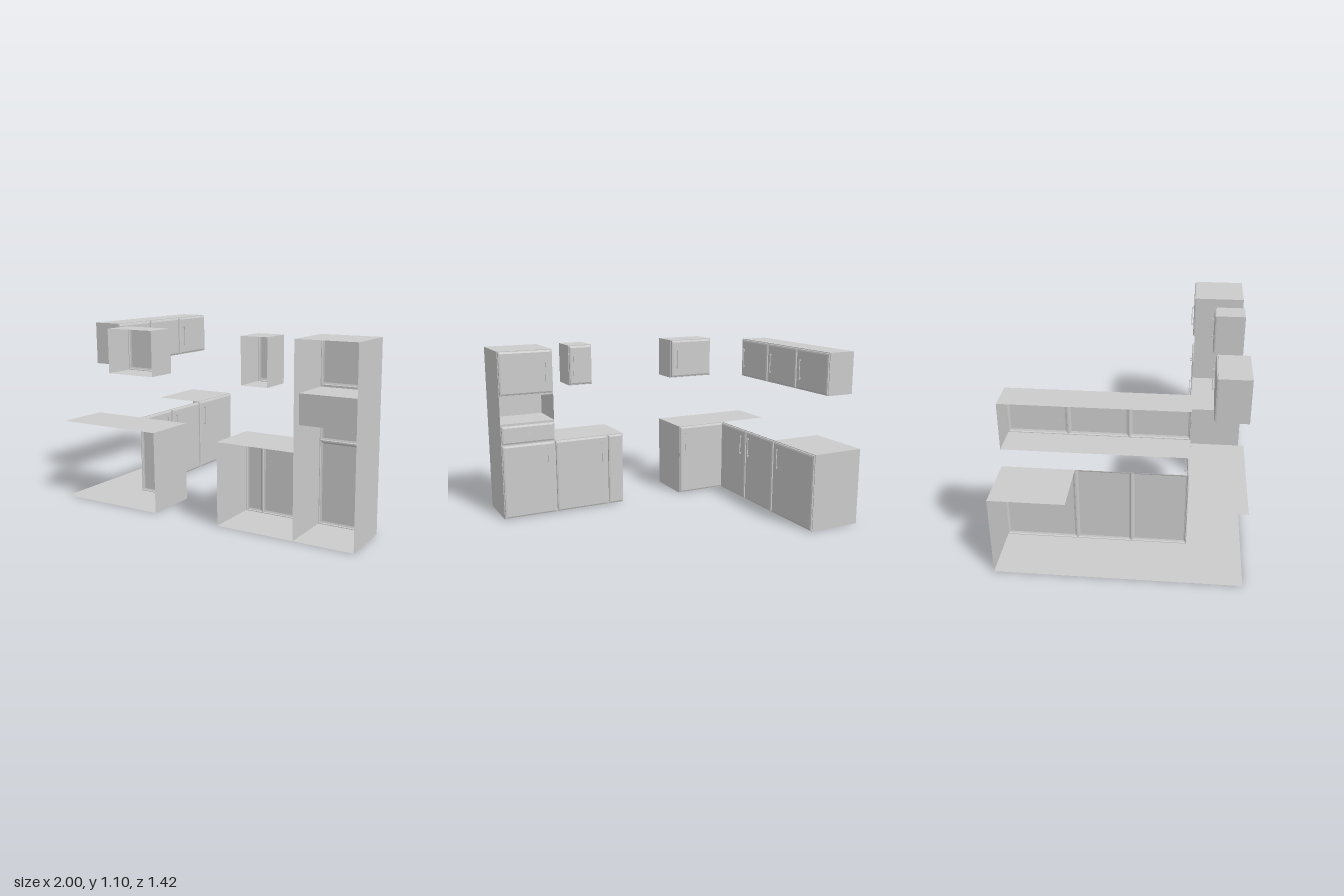
import * as THREE from 'three';

const grey = new THREE.MeshStandardMaterial({ color: 0xcccccc, side: THREE.DoubleSide, flatShading: true });

// Geometry from a list of four-cornered faces
function quads(faces) {
  const pos = [];
  for (const [a, b, c, d] of faces) pos.push(...a, ...b, ...c, ...a, ...c, ...d);
  const g = new THREE.BufferGeometry();
  g.setAttribute('position', new THREE.Float32BufferAttribute(pos, 3));
  g.computeVertexNormals();
  return g;
}

function add(parent, name, geometry) {
  const mesh = new THREE.Mesh(geometry, grey);
  mesh.name = name;
  parent.add(mesh);
  return mesh;
}

// Axis-aligned faces, each lying in one plane
const flatY = (y, x0, x1, z0, z1) => [[x0, y, z1], [x1, y, z1], [x1, y, z0], [x0, y, z0]];
const flatX = (x, y0, y1, z0, z1) => [[x, y0, z1], [x, y0, z0], [x, y1, z0], [x, y1, z1]];
const flatZ = (z, x0, x1, y0, y1) => [[x0, y0, z], [x1, y0, z], [x1, y1, z], [x0, y1, z]];

// Bevelled door shell: nested rectangles given as [inset, height]
function doorGeometry(w, h) {
  const rings = [[0, 0], [0.004, 0], [0.006, 0.008], [0.016, 0.012]].map(([i, z]) => {
    const x = w / 2 - i, y = h / 2 - i;
    return [[-x, -y, z], [x, -y, z], [x, y, z], [-x, y, z]];
  });
  const faces = [rings[rings.length - 1]];
  for (let r = 0; r + 1 < rings.length; r++)
    for (let k = 0; k < 4; k++) {
      const n = (k + 1) % 4;
      faces.push([rings[r][k], rings[r][n], rings[r + 1][n], rings[r + 1][k]]);
    }
  return quads(faces);
}

// Bar handle on two short stems, upright or level
function handle(length, level) {
  const g = new THREE.Group();
  g.name = 'handle';
  const bar = add(g, 'handleBar', new THREE.BoxGeometry(0.012, length, 0.005));
  bar.position.z = 0.0245;
  for (const s of [-1, 1]) {
    const stem = add(g, 'handleStem', new THREE.BoxGeometry(0.006, 0.008, 0.012));
    stem.position.set(0, s * (length / 2 - 0.008), 0.017);
  }
  if (level) g.rotation.z = Math.PI / 2;
  return g;
}

// Door spanning a0..a1 along the cabinet run, facing +x or -z
function door(parent, name, facing, plane, a0, a1, y0, y1, grip) {
  const g = new THREE.Group();
  g.name = name;
  const mid = (a0 + a1) / 2, cy = (y0 + y1) / 2;
  add(g, 'doorPanel', doorGeometry(a1 - a0, y1 - y0));
  const bar = handle(grip.length ?? 0.135, grip.level);
  bar.position.set(mid - grip.at, grip.y - cy, 0);
  g.add(bar);
  if (facing === '+x') {
    g.rotation.y = Math.PI / 2;
    g.position.set(plane, cy, mid);
  } else {
    g.rotation.y = Math.PI;
    g.position.set(mid, cy, plane);
  }
  parent.add(g);
}

function section(parent, name) {
  const g = new THREE.Group();
  g.name = name;
  parent.add(g);
  return g;
}

export function createModel() {
  const model = new THREE.Group();
  model.name = 'kitchenCabinets';
  const H = 0.495, TOP = 1.1, LOW = 0.83;
  const BACK = 0.712, FACE = 0.386, SIDE = -0.65;
  const BASE_GRIP = 0.385, WALL_GRIP = 0.965;

  // L-shaped base cabinets, open against the walls, with a gap in the worktop
  const corner = section(model, 'cornerBaseCabinets');
  add(corner, 'floor', quads([flatY(0, -1, SIDE, -BACK, FACE), flatY(0, -1, -0.29, FACE, BACK)]));
  add(corner, 'worktop', quads([flatY(H, -1, SIDE, -BACK, -0.278), flatY(H, -1, -0.29, FACE, BACK)]));
  add(corner, 'endPanels', quads([flatZ(-BACK, -1, SIDE, 0, H), flatX(-0.29, 0, H, FACE, BACK)]));
  for (const [a0, a1, at] of [[0.054, FACE, 0.108], [-0.278, 0.054, 0.01], [-BACK, -0.278, -0.335]])
    door(corner, 'baseDoor', '+x', SIDE, a0, a1, 0, H, { at, y: BASE_GRIP });
  door(corner, 'cornerDoor', '-z', FACE, SIDE, -0.29, 0, H, { at: -0.337, y: BASE_GRIP });

  // Row of wall cabinets, open at the back
  const row = section(model, 'wallCabinetRow');
  const rowFace = -0.815, rowEnd = -0.605;
  add(row, 'shell', quads([
    flatY(LOW, -1, rowFace, rowEnd, FACE), flatY(TOP, -1, rowFace, rowEnd, FACE),
    flatZ(rowEnd, -1, rowFace, LOW, TOP), flatZ(FACE, -1, rowFace, LOW, TOP),
  ]));
  for (const [a0, a1, at] of [[0.056, FACE, 0.34], [-0.274, 0.056, 0.008], [rowEnd, -0.274, -0.325]])
    door(row, 'wallDoor', '+x', rowFace, a0, a1, LOW, TOP, { at, y: WALL_GRIP });

  // Two single wall cabinets
  for (const [x0, x1, at] of [[-0.615, -0.29, -0.337], [0.318, 0.482, 0.45]]) {
    const g = section(model, 'singleWallCabinet');
    const face = 0.525;
    add(g, 'shell', quads([
      flatY(LOW, x0, x1, face, BACK), flatY(TOP, x0, x1, face, BACK),
      flatX(x0, LOW, TOP, face, BACK), flatX(x1, LOW, TOP, face, BACK),
    ]));
    door(g, 'wallDoor', '-z', face, x0, x1, LOW, TOP, { at, y: WALL_GRIP });
  }

  // Straight base cabinet with a narrow and a wide door
  const L = 0.156, M = 0.642, R = 1;
  const base = section(model, 'straightBaseCabinet');
  add(base, 'shell', quads([
    flatY(0, L, M, FACE, BACK), flatY(H, L, M, FACE, BACK), flatX(L, 0, H, FACE, BACK),
  ]));
  door(base, 'narrowDoor', '-z', FACE, L, 0.268, 0, H, { at: 0.207, y: 0.44, length: 0.052, level: true });
  door(base, 'wideDoor', '-z', FACE, 0.268, M, 0, H, { at: 0.312, y: BASE_GRIP });

  // Tall cabinet with two doors, a drawer and an open niche
  const tall = section(model, 'tallCabinet');
  const n0 = 0.634, n1 = 0.806, nicheBack = 0.65;
  add(tall, 'shell', quads([
    flatY(0, M, R, FACE, BACK), flatY(TOP, M, R, FACE, BACK),
    flatX(M, 0, TOP, FACE, BACK), flatX(R, 0, TOP, FACE, BACK),
  ]));
  add(tall, 'niche', quads([
    flatY(n0, M, R, FACE, nicheBack), flatY(n1, M, R, FACE, nicheBack), flatZ(nicheBack, M, R, n0, n1),
    flatZ(FACE, M, R, 0.624, n0), flatZ(FACE, M, R, n1, 0.814),
  ]));
  door(tall, 'lowerDoor', '-z', FACE, M, R, 0, H, { at: 0.69, y: BASE_GRIP });
  door(tall, 'drawerFront', '-z', FACE, M, R, H, 0.624, { at: 0.82, y: 0.56, length: 0.052, level: true });
  door(tall, 'upperDoor', '-z', FACE, M, R, 0.814, TOP, { at: 0.69, y: 0.955 });

  return model;
}
